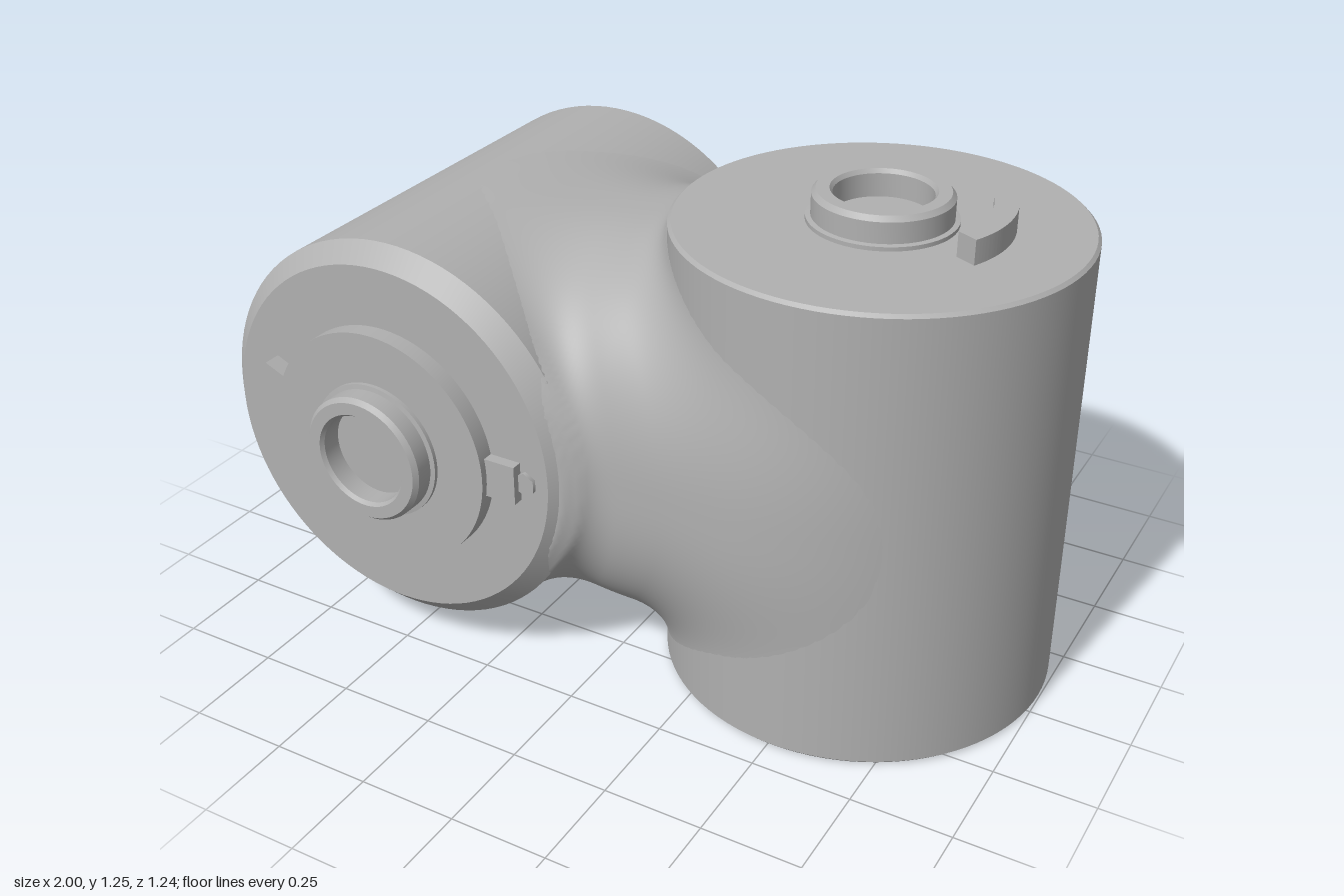
import * as THREE from 'three';
import { toCreasedNormals } from 'three/addons/utils/BufferGeometryUtils.js';

const grey = new THREE.MeshStandardMaterial({ color: 0xb0b0b0 });
grey.name = 'castGrey';

// Two crossed drums: one upright (y), one lying (z)
const UP = { x: 0.512, z: -0.06, r: 0.486, len: 1.17 };
const LY = { x: -0.4975, y: 0.587, z0: -0.62, r: 0.5025, len: 1.125, chamfer: 0.047 };

function mesh(name, geometry, parent) {
  const m = new THREE.Mesh(geometry, grey);
  m.name = name;
  parent.add(m);
  return m;
}

const v2 = (pts) => pts.map(([x, y]) => new THREE.Vector2(x, y));
const lathe = (pts, seg = 96) => toCreasedNormals(new THREE.LatheGeometry(v2(pts), seg), 0.5);

// Flat plate lying on y, extruded upward
function plate(shape, depth) {
  const g = new THREE.ExtrudeGeometry(shape, { depth, bevelEnabled: false, curveSegments: 48 });
  g.rotateX(-Math.PI / 2);
  return toCreasedNormals(g, 0.5);
}

// Shared drum: bolted ring with a recess below, flat face on top
function drum(name, r, len, chamfer) {
  const g = new THREE.Group();
  g.name = name;
  const f = r - chamfer;
  const depth = 0.04;
  mesh(name + 'Shell', lathe([
    [0, depth], [f - 0.003, depth], [f - 0.003, 0], [f, 0], [r, chamfer],
    [r, len - chamfer], [f, len], [0, len],
  ]), g);

  // End ring pierced by eight hexagonal sockets
  const ring = new THREE.Shape().absarc(0, 0, f - 0.003, 0, Math.PI * 2);
  ring.holes.push(new THREE.Path().absarc(0, 0, 0.31, 0, Math.PI * 2, true));
  for (let i = 0; i < 8; i++) {
    const a = (i + 0.5) * Math.PI / 4;
    const hex = [];
    for (let k = 0; k < 6; k++) {
      const b = -k * Math.PI / 3;
      hex.push([0.385 * Math.cos(a) + 0.04 * Math.cos(b), 0.385 * Math.sin(a) + 0.04 * Math.sin(b)]);
    }
    ring.holes.push(new THREE.Path(v2(hex)));
  }
  mesh(name + 'BoltRing', plate(ring, depth), g);

  // Stepped lip inside the recess
  mesh(name + 'RecessLip', lathe([[0.28, depth], [0.28, 0.018], [0.311, 0.018]]), g);
  return g;
}

// Hollow collar standing on height y
function collar(height, parent, y) {
  const m = mesh('shaftCollar', lathe([
    [0.175, 0], [0.175, 0.01], [0.163, 0.012], [0.163, height - 0.012], [0.153, height],
    [0.122, height], [0.115, height - 0.01], [0.115, 0.008], [0, 0.008],
  ], 64), parent);
  m.position.y = y;
}

// Distance to a capped cylinder with chamfered rims
function cylinderField(rad, h, R, H, chamfer) {
  const a = rad - R, b = Math.abs(h) - H;
  const d = Math.min(Math.max(a, b), 0) + Math.hypot(Math.max(a, 0), Math.max(b, 0));
  return Math.max(d, (a + b + chamfer) * Math.SQRT1_2);
}

// Drums blended with a thick, slightly squared neck running along x
function field(x, y, z) {
  const lying = cylinderField(Math.hypot(x - LY.x, y - LY.y), z + 0.0575, LY.r, 0.5625, LY.chamfer);
  const upright = cylinderField(Math.hypot(x - UP.x, z - UP.z), y - 0.585, UP.r, 0.585, 0.008);
  const p = 2.5;
  const across = (Math.abs(y - 0.587) ** p + Math.abs(z + 0.06) ** p) ** (1 / p);
  const along = x - THREE.MathUtils.clamp(x, -0.42, 0.37);
  const neck = Math.hypot(along, across) - (0.455 + 0.05 * THREE.MathUtils.smoothstep(x, -0.5, 0.05));
  const drums = Math.min(lying, upright);
  const k = 0.1;
  const h = Math.max(k - Math.abs(drums - neck), 0);
  const blend = Math.min(drums, neck) - h * h / (4 * k);
  // Stay behind the end faces of both drums
  return Math.max(blend, y - 1.16, 0.045 - y, z - 0.49, -0.575 - z) + 0.004;
}

// Skin over the blend, sampled in rings around the x axis
function neckSkin() {
  const nx = 140, na = 240, x0 = -0.74, x1 = 0.88;
  const pos = [], index = [];
  for (let i = 0; i <= nx; i++) {
    const x = x0 + (x1 - x0) * i / nx;
    for (let j = 0; j < na; j++) {
      const a = j / na * Math.PI * 2, c = Math.cos(a), s = Math.sin(a);
      let lo = 0, hi = 0.9;
      for (let n = 0; n < 24; n++) {
        const mid = (lo + hi) / 2;
        if (field(x, 0.587 + c * mid, -0.06 + s * mid) < 0) lo = mid; else hi = mid;
      }
      pos.push(x, 0.587 + c * lo, -0.06 + s * lo);
      if (i < nx) {
        const p = i * na + j, q = i * na + (j + 1) % na;
        index.push(p, q, p + na, q, q + na, p + na);
      }
    }
  }
  const g = new THREE.BufferGeometry();
  g.setAttribute('position', new THREE.Float32BufferAttribute(pos, 3));
  g.setIndex(index);
  g.computeVertexNormals();
  return g;
}

export function createModel() {
  const model = new THREE.Group();
  model.name = 'elbowJoint';
  mesh('blendedNeck', neckSkin(), model);

  // Upright drum with its collar and curved stop
  const upright = drum('uprightDrum', UP.r, UP.len, 0.008);
  upright.position.set(UP.x, 0, UP.z);
  collar(0.075, upright, UP.len);
  const stop = new THREE.Shape();
  stop.absarc(0, 0, 0.3, -0.45, 0.45, false);
  stop.absarc(0, 0, 0.245, 0.45, -0.45, true);
  mesh('curvedStop', plate(stop, 0.06), upright).position.y = UP.len;
  model.add(upright);

  // Lying drum, facing front
  const lying = drum('lyingDrum', LY.r, LY.len, LY.chamfer);
  lying.position.set(LY.x, LY.y, LY.z0);
  lying.rotation.x = Math.PI / 2;

  // Round flange with a wide tab on one side
  const flange = new THREE.Shape();
  const t = 0.42;
  flange.absarc(0, 0, 0.303, -Math.PI + t, Math.PI - t, false);
  flange.absarc(0, 0, 0.36, Math.PI - t, Math.PI + t, false);
  mesh('tabbedFlange', plate(flange, 0.045), lying).position.y = LY.len;
  collar(0.068, lying, LY.len + 0.045);

  // Small key block and pin beside the flange
  const key = mesh('keyBlock', new THREE.BoxGeometry(0.085, 0.03, 0.1), lying);
  key.position.set(0.338, LY.len + 0.012, 0);
  const pin = mesh('keyPin', new THREE.CylinderGeometry(0.03, 0.03, 0.012, 6), lying);
  pin.position.set(0.395, LY.len + 0.004, 0);
  model.add(lying);

  return model;
}
